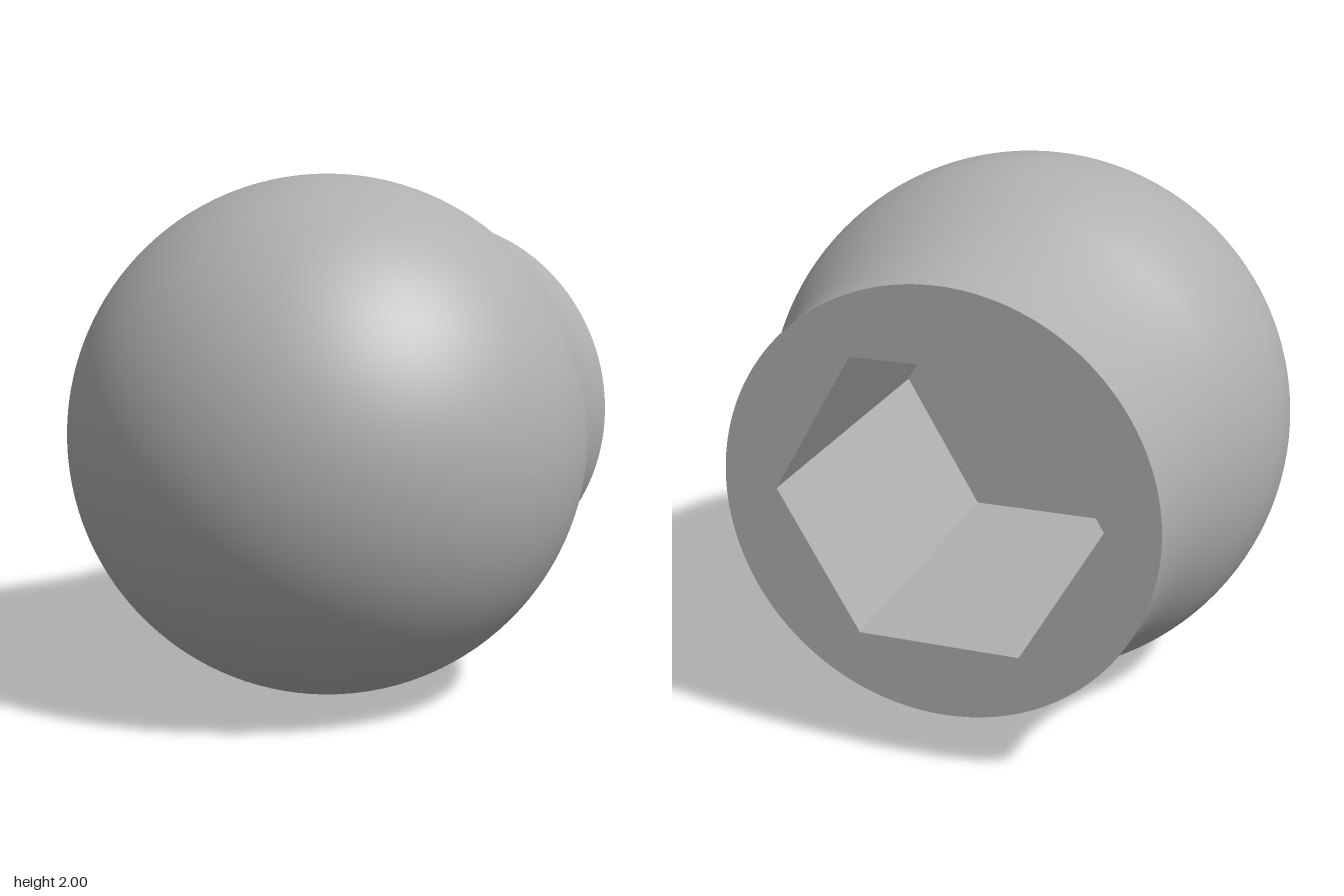
import * as THREE from 'three';

const NECK_ARC = 1.43; // radius of the concave fillet between ball and neck
const HEX_RADIUS = 0.59;
const HEX_FLOOR = 0.2; // how far forward the socket reaches

export function createModel() {
  const grey = new THREE.MeshStandardMaterial({ color: 0xb0b0b0 });
  grey.name = 'grey';
  const model = new THREE.Group();
  model.name = 'ballKnob';

  const add = (name, geometry) => {
    const mesh = new THREE.Mesh(geometry, grey);
    mesh.name = name;
    mesh.position.y = 1;
    model.add(mesh);
  };

  // Ball with a neck flaring tangentially out of it, turned about the z axis
  const reach = 1 + NECK_ARC;
  const join = Math.asin(1 / reach);
  const arcCentre = Math.sqrt(reach * reach - 1);
  const neckRadius = arcCentre - NECK_ARC;
  const profile = [];
  for (let i = 0; i < 16; i++) {
    const a = (join * i) / 16;
    profile.push(new THREE.Vector2(arcCentre - NECK_ARC * Math.cos(a), -1 + NECK_ARC * Math.sin(a)));
  }
  for (let i = 0; i <= 64; i++) {
    const a = -join + ((Math.PI / 2 + join) * i) / 64;
    profile.push(new THREE.Vector2(i === 64 ? 0 : Math.cos(a), Math.sin(a)));
  }
  add('ballAndNeck', new THREE.LatheGeometry(profile, 128).rotateX(Math.PI / 2));

  // Flat rear face with a hexagonal opening
  const face = new THREE.Shape().absarc(0, 0, neckRadius, 0, Math.PI * 2);
  const corners = [];
  for (let i = 0; i < 6; i++) {
    const a = (-i * Math.PI) / 3;
    corners.push(new THREE.Vector2(HEX_RADIUS * Math.cos(a), HEX_RADIUS * Math.sin(a)));
  }
  face.holes.push(new THREE.Path(corners));
  add('rearFace', new THREE.ShapeGeometry(face, 64).rotateY(Math.PI).translate(0, 0, -1));

  // Hexagonal socket: inward-facing walls and a floor
  const socketProfile = [
    new THREE.Vector2(0, HEX_FLOOR),
    new THREE.Vector2(HEX_RADIUS, HEX_FLOOR),
    new THREE.Vector2(HEX_RADIUS, -1),
  ];
  const socket = new THREE.LatheGeometry(socketProfile, 6, Math.PI / 2).toNonIndexed();
  socket.computeVertexNormals();
  add('hexSocket', socket.rotateX(Math.PI / 2));

  return model;
}
